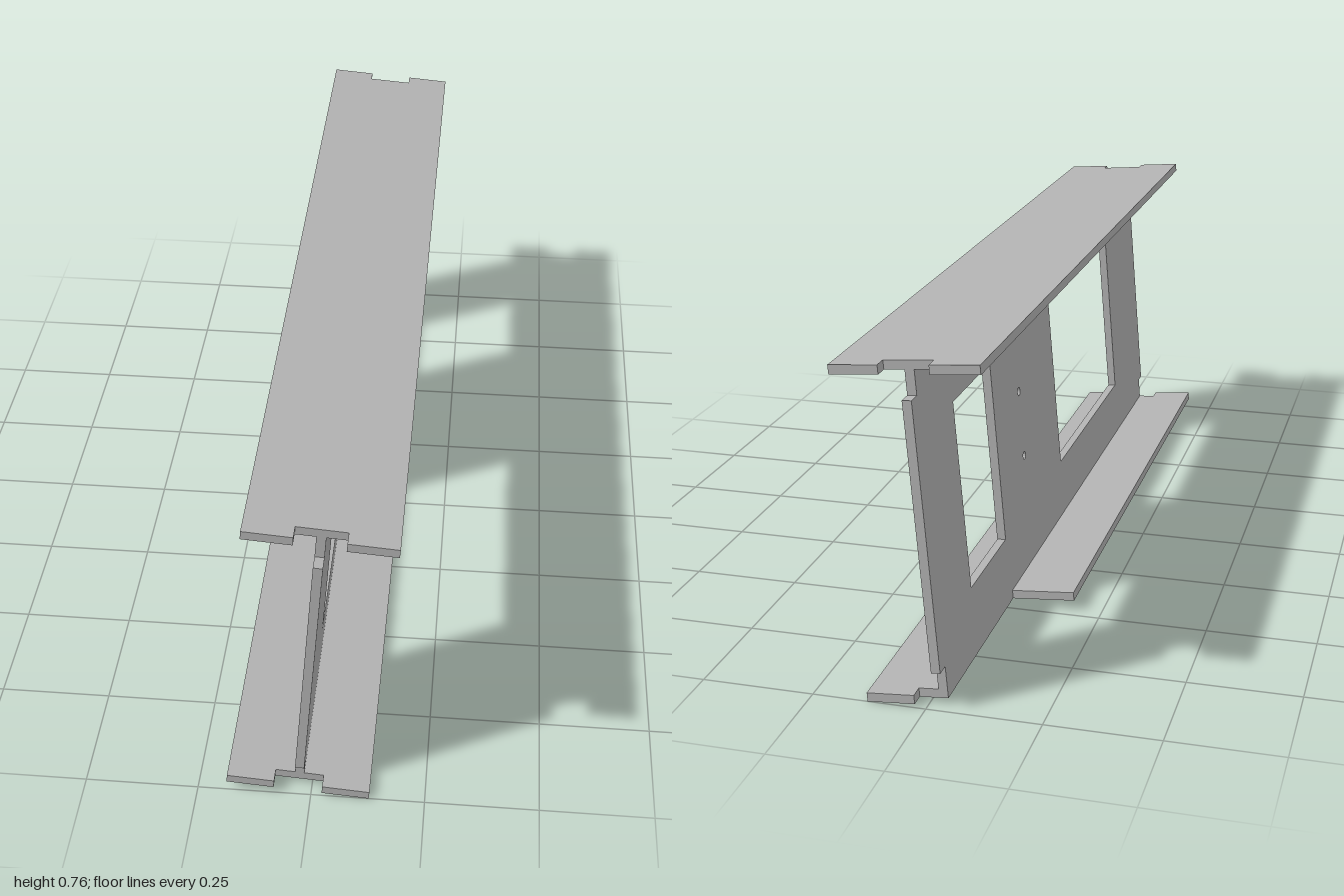
import * as THREE from 'three';

const TILT = 0.079;       // lean of the whole beam about z
const T = 0.02;           // plate thickness
const HALF_W = 0.157;     // half flange width
const HALF_H = 0.368;     // half beam height
const NOTCH_D = 0.033;    // depth of the end notches
const NOTCH_W = 0.053;    // half width of the flange notches

const polygon = (Type, pts) => new Type(pts.map(([x, y]) => new THREE.Vector2(x, y)));
const rect = (x0, x1, y0, y1) => polygon(THREE.Path, [[x0, y0], [x1, y0], [x1, y1], [x0, y1]]);

function plate(name, shape, material) {
  const geo = new THREE.ExtrudeGeometry(shape, { depth: T, bevelEnabled: false, curveSegments: 6 });
  geo.translate(0, 0, -T / 2);
  const mesh = new THREE.Mesh(geo, material);
  mesh.name = name;
  return mesh;
}

// Flange outline in (x, -z); the cut version loses its -x side at the back
function flangeShape(cut) {
  const n = NOTCH_W, e = 1 - NOTCH_D;
  const pts = [[-HALF_W, -1], [-n, -1], [-n, -e], [n, -e], [n, -1], [HALF_W, -1], [HALF_W, 1], [n, 1], [n, e]];
  if (cut) pts.push([-T / 2, e], [-T / 2, 0.475], [-HALF_W, 0.475]);
  else pts.push([-n, e], [-n, 1], [-HALF_W, 1]);
  return polygon(THREE.Shape, pts);
}

// Web outline in (-z, y) with corner notches, two windows and two bolt holes
function webShape() {
  const h = HALF_H - T, k = 0.295, e = 1 - NOTCH_D;
  const shape = polygon(THREE.Shape, [
    [-e, -h], [e, -h], [e, -k], [1, -k], [1, k], [e, k],
    [e, h], [-e, h], [-e, k], [-1, k], [-1, -k], [-e, -k],
  ]);
  shape.holes.push(rect(-0.657, -0.021, -0.212, 0.212), rect(0.492, 0.759, -0.212, 0.212));
  for (const y of [-0.08, 0.08]) {
    shape.holes.push(new THREE.Path().absarc(0.291, y, 0.01, 0, Math.PI * 2, true));
  }
  return shape;
}

export function createModel() {
  const steel = new THREE.MeshStandardMaterial({ color: 0xb2b2b2 });
  steel.name = 'steelGrey';

  const beam = new THREE.Group();
  beam.name = 'tiltedBeam';

  const web = plate('web', webShape(), steel);
  web.rotation.y = Math.PI / 2;

  const topFlange = plate('topFlange', flangeShape(false), steel);
  const bottomFlange = plate('bottomFlange', flangeShape(true), steel);
  topFlange.position.y = HALF_H - T / 2;
  bottomFlange.position.y = -HALF_H + T / 2;
  for (const f of [topFlange, bottomFlange]) f.rotation.x = -Math.PI / 2;

  beam.add(web, topFlange, bottomFlange);
  beam.rotation.z = -TILT;
  beam.position.y = HALF_H * Math.cos(TILT) + HALF_W * Math.sin(TILT);

  const model = new THREE.Group();
  model.name = 'beamModel';
  model.add(beam);
  return model;
}
